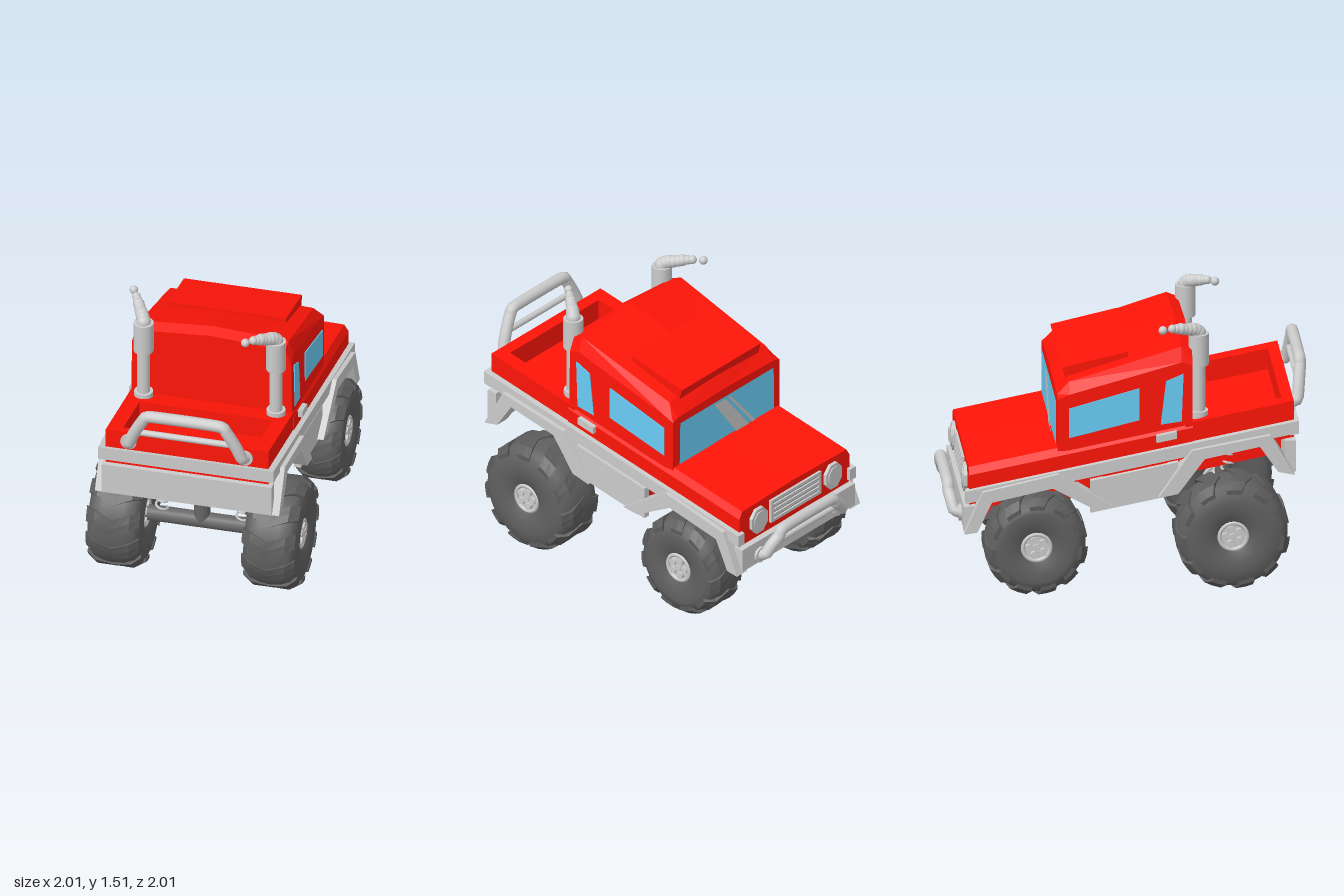
import * as THREE from 'three';

const mat = (color, flat = false) =>
  new THREE.MeshStandardMaterial({ color, flatShading: flat, side: THREE.DoubleSide });
const RED = mat(0xff1508, true), TRIM = mat(0xcccccc, true), METAL = mat(0xcccccc);
const RUBBER = mat(0x606060), LUG = mat(0x5c5c5c, true), GLASS = mat(0x6accf5, true), DARK = mat(0x666666);

// Belt line of the raked body
const belt = (x) => 0.88 - 0.19 * x;

export function createModel() {
  const root = new THREE.Group();
  root.name = 'truck';
  const truck = new THREE.Group(); // built with the nose along +x
  truck.name = 'truckBody';
  truck.rotation.y = Math.PI / 4;
  root.add(truck);

  const add = (name, geo, material, parent = truck) => {
    const m = new THREE.Mesh(geo, material);
    m.name = name;
    parent.add(m);
    return m;
  };
  const box = (name, x0, x1, y0, y1, z0, z1, material) => {
    const m = add(name, new THREE.BoxGeometry(x1 - x0, y1 - y0, z1 - z0), material);
    m.position.set((x0 + x1) / 2, (y0 + y1) / 2, (z0 + z1) / 2);
    return m;
  };
  // Box that follows the belt line; top and bottom are offsets from it
  const slab = (name, x0, x1, top, bottom, z0, z1, material) => {
    const g = new THREE.BoxGeometry(x1 - x0, top - bottom, z1 - z0);
    g.translate((x0 + x1) / 2, (top + bottom) / 2, (z0 + z1) / 2);
    const p = g.attributes.position;
    for (let i = 0; i < p.count; i++) p.setY(i, p.getY(i) + belt(p.getX(i)));
    g.computeVertexNormals();
    return add(name, g, material);
  };
  // Skin over mirrored half sections [x, [[z, y], ...]] from sill to centre
  const loft = (name, sections, material) => {
    const pos = [], idx = [];
    const n = sections[0][1].length * 2 - 1;
    for (const [x, half] of sections) {
      const full = [...half, ...half.slice(0, -1).reverse().map(([z, y]) => [-z, y])];
      for (const [z, y] of full) pos.push(x, y, z);
    }
    const last = (sections.length - 1) * n;
    for (let i = 0; i < last; i += n)
      for (let j = 0; j < n - 1; j++) {
        const a = i + j, b = a + n;
        idx.push(a, b, a + 1, b, b + 1, a + 1);
      }
    for (let j = 1; j < n - 1; j++) idx.push(0, j, j + 1, last, last + j + 1, last + j);
    const g = new THREE.BufferGeometry();
    g.setAttribute('position', new THREE.Float32BufferAttribute(pos, 3));
    g.setIndex(idx);
    g.computeVertexNormals();
    return add(name, g, material);
  };
  const plate = (name, pts, z0, z1, material) => {
    const shape = new THREE.Shape(pts.map(([x, y]) => new THREE.Vector2(x, y)));
    const g = new THREE.ExtrudeGeometry(shape, { depth: z1 - z0, bevelEnabled: false });
    return add(name, g.translate(0, 0, z0), material);
  };
  // Flat panel facing +x, drawn by [z, y] corners
  const frontPane = (name, x, pts, material) => {
    const g = new THREE.ShapeGeometry(new THREE.Shape(pts.map(([z, y]) => new THREE.Vector2(-z, y))));
    return add(name, g.rotateY(Math.PI / 2).translate(x, 0, 0), material);
  };
  const rod = (name, a, b, r, material, seg = 16) => {
    const A = new THREE.Vector3(...a), B = new THREE.Vector3(...b), d = B.clone().sub(A);
    const m = add(name, new THREE.CylinderGeometry(r, r, d.length(), seg), material);
    m.position.copy(A).add(B).multiplyScalar(0.5);
    m.quaternion.setFromUnitVectors(new THREE.Vector3(0, 1, 0), d.normalize());
    return m;
  };

  // Lower body and hood
  const hoodSection = (x) => [x, [[0.46, belt(x) - 0.2], [0.46, belt(x) - 0.03], [0.435, belt(x) + 0.01], [0, belt(x) + 0.02]]];
  loft('hood', [hoodSection(-0.34), hoodSection(0.4), hoodSection(0.88)], RED);
  slab('belly', -0.86, 0.85, -0.2, -0.37, -0.25, 0.25, RED);
  slab('cabinFloor', -0.2, 0.15, -0.19, -0.38, -0.455, 0.455, RED);

  // Cargo bed
  slab('bedFloor', -0.89, -0.3, -0.12, -0.21, -0.455, 0.455, RED);
  slab('tailgate', -0.89, -0.83, 0, -0.21, -0.455, 0.455, RED);
  slab('bedFront', -0.47, -0.3, 0, -0.21, -0.455, 0.455, RED);

  // Cab
  loft('cab', [
    [-0.34, [[0.45, 0.85], [0.445, 1.27], [0.41, 1.345], [0, 1.375]]],
    [-0.28, [[0.45, 0.84], [0.445, 1.29], [0.415, 1.37], [0, 1.4]]],
    [0.33, [[0.45, 0.75], [0.445, 1.125], [0.4, 1.185], [0, 1.212]]],
    [0.395, [[0.445, 0.74], [0.445, 1.1], [0.405, 1.115], [0, 1.125]]],
  ], RED);
  plate('roofScoop', [[0, 1.25], [0.34, 1.17], [0.36, 1.24], [0, 1.32]], -0.33, 0.33, RED);

  // Windshield with two slanted stripes
  frontPane('windshield', 0.4, [[0.395, 0.82], [-0.395, 0.82], [-0.39, 1.075], [0.39, 1.075]], GLASS);
  for (const [t0, t1, b0, b1] of [[0.115, 0.024, -0.066, -0.172], [0, -0.02, -0.2, -0.225]])
    frontPane('windshieldStripe', 0.41, [[b0, 0.825], [b1, 0.825], [t1, 1.07], [t0, 1.07]], TRIM);

  // Bed sides, side trim, wheel arches, windows and handles
  const panes = [
    [[-0.05, 0.965], [0.335, 0.875], [0.335, 1.045], [-0.05, 1.15]],
    [[-0.28, 0.95], [-0.165, 0.935], [-0.195, 1.185], [-0.29, 1.225]],
  ];
  const arches = [
    [[-0.89, 0.64], [-0.76, 0.875], [-0.33, 0.8], [-0.15, 0.535], [-0.26, 0.56], [-0.4, 0.75], [-0.7, 0.81], [-0.8, 0.66]],
    [[0.1, 0.49], [0.4, 0.69], [0.81, 0.6], [0.91, 0.36], [0.84, 0.37], [0.76, 0.54], [0.43, 0.61], [0.2, 0.48]],
  ];
  for (const s of [-1, 1]) {
    const span = (a, b) => (s > 0 ? [a, b] : [-b, -a]);
    slab('bedSide', -0.86, -0.3, 0, -0.21, ...span(0.37, 0.455), RED);
    for (const p of panes) plate('sideWindow', p, ...span(0.44, 0.452), GLASS);
    slab('sideStrip', -0.915, 0.9, -0.11, -0.18, ...span(0.44, 0.49), TRIM);
    slab('sidePanel', -0.26, 0.22, -0.205, -0.39, ...span(0.44, 0.48), TRIM);
    for (const a of arches) plate('wheelArch', a, ...span(0.43, 0.515), TRIM);
    slab('doorHandle', -0.25, -0.14, -0.025, -0.065, ...span(0.45, 0.485), TRIM);
  }
  slab('rearStrip', -0.915, -0.87, -0.11, -0.185, -0.49, 0.49, TRIM);
  box('rearPanel', -0.9, -0.84, 0.645, 0.825, -0.475, 0.475, TRIM);
  box('frontBumper', 0.84, 0.91, 0.37, 0.505, -0.47, 0.47, TRIM);

  // Headlights and grille
  for (const s of [-1, 1])
    for (const [r, x, m] of [[0.075, 0.875, TRIM], [0.055, 0.881, METAL]]) {
      const g = new THREE.CylinderGeometry(r, r, 0.05, 8).rotateY(Math.PI / 8).rotateZ(Math.PI / 2).scale(1, 1.08, 0.95);
      add('headlight', g, m).position.set(x, 0.62, s * 0.31);
    }
  box('grillePanel', 0.86, 0.885, 0.56, 0.69, -0.2, 0.2, DARK);
  for (let i = 0; i < 5; i++) box('grilleBar', 0.86, 0.895, 0.556 + i * 0.03, 0.574 + i * 0.03, -0.205, 0.205, TRIM);
  for (const s of [-1, 1]) box('grilleEnd', 0.86, 0.895, 0.556, 0.694, s * 0.2 - 0.01, s * 0.2 + 0.01, TRIM);

  // Tubular guard bars, front and rear
  const guard = (name, x, out, y0, y1) => {
    const half = [[x, y0, 0.325], [x + out * 0.6, y0 + 0.01, 0.315], [x + out * 0.8, y0 + (y1 - y0) * 0.4, 0.285], [x + out, y1 - 0.035, 0.235], [x + out, y1, 0.19]];
    const pts = [...half, ...half.map(([a, b, c]) => [a, b, -c]).reverse()].map((p) => new THREE.Vector3(...p));
    add(name, new THREE.TubeGeometry(new THREE.CatmullRomCurve3(pts, false, 'catmullrom', 0.3), 60, 0.033, 12), METAL);
    const ym = y0 + (y1 - y0) * 0.45;
    rod(name + 'CrossBar', [x + out * 0.8, ym, -0.28], [x + out * 0.8, ym, 0.28], 0.018, METAL, 12);
    for (const s of [-1, 1]) rod(name + 'Foot', [x - out * 0.3, y0, s * 0.325], [x + out * 0.25, y0, s * 0.325], 0.045, METAL);
  };
  guard('frontGuard', 0.91, 0.06, 0.42, 0.55);
  guard('rearGuard', -0.89, -0.055, 0.995, 1.21);

  // Exhaust stacks with puffs drifting from the tops
  for (const [s, dx, dz] of [[1, -0.2, 0.01], [-1, 0.07, -0.22]]) {
    const X = -0.38, Z = s * 0.37;
    rod('stackBase', [X, 0.93, Z], [X, 0.985, Z], 0.052, METAL);
    rod('stackPipe', [X, 0.93, Z], [X, 1.26, Z], 0.036, METAL);
    rod('stackMuffler', [X, 1.25, Z], [X, 1.43, Z], 0.055, METAL, 20);
    const ox = (dx - dz) * Math.SQRT1_2, oz = (dx + dz) * Math.SQRT1_2;
    [[0, 1.435, 0.04], [0.08, 1.45, 0.038], [0.17, 1.458, 0.037], [0.28, 1.463, 0.034], [0.4, 1.47, 0.032], [0.5, 1.477, 0.032], [0.62, 1.482, 0.026], [0.74, 1.488, 0.024], [1, 1.492, 0.024]]
      .forEach(([t, y, r]) => add('smokePuff', new THREE.SphereGeometry(r, 14, 10), METAL).position.set(X + ox * t, y, Z + oz * t));
  }

  // Wheel with its axle along z: tyre, chevron lugs, hub and bolts
  const wheel = (R, wide) => {
    const g = new THREE.Group();
    g.name = 'wheel';
    const half = [[0.07, 0.095], [0.09, 0.115], [0.15, 0.13], [0.2, 0.132], [R - 0.055, 0.125], [R - 0.025, 0.1], [R - 0.01, 0.05]];
    const pts = [...half.map(([r, z]) => [r, -z * wide]), ...half.reverse().map(([r, z]) => [r, z * wide])].map((p) => new THREE.Vector2(...p));
    add('tyre', new THREE.LatheGeometry(pts, 48).rotateX(Math.PI / 2), RUBBER, g);
    const count = 11;
    for (let i = 0; i < count; i++)
      for (const s of [-1, 1]) {
        // Each half lug sweeps back and wraps over the shoulder
        const lug = new THREE.BoxGeometry(0.024, 0.095, 0.132, 1, 2, 3).translate(R - 0.013, 0, s * 0.066);
        const p = lug.attributes.position;
        for (let k = 0; k < p.count; k++) {
          const d = Math.abs(p.getZ(k)), a = (p.getY(k) + 0.025 - d * 0.5) / R;
          const r = p.getX(k) - (d > 0.1 ? 0.035 : 0);
          p.setXYZ(k, r * Math.cos(a), r * Math.sin(a), p.getZ(k) * wide);
        }
        lug.computeVertexNormals();
        add('treadLug', lug, LUG, g).rotation.z = (i / count) * Math.PI * 2;
      }
    add('hub', new THREE.CylinderGeometry(0.085, 0.085, 0.2 * wide, 24).rotateX(Math.PI / 2), METAL, g);
    for (const s of [-1, 1]) {
      const z = s * 0.108 * wide;
      add('hubRim', new THREE.TorusGeometry(0.076, 0.012, 8, 24), METAL, g).position.z = z;
      for (let i = 0; i < 6; i++) {
        const a = (i / 5) * Math.PI * 2, r = i < 5 ? 0.044 : 0;
        const bolt = add('hubBolt', new THREE.CylinderGeometry(0.021, 0.021, 0.03, 12).rotateX(Math.PI / 2), METAL, g);
        bolt.position.set(Math.cos(a) * r, Math.sin(a) * r, z);
      }
    }
    return g;
  };

  // Axles, posts, springs and wheels
  for (const [x, R, wide] of [[-0.55, 0.313, 1.13], [0.52, 0.283, 1]]) {
    const top = belt(x) - 0.2;
    rod('axle', [x, R, -0.42], [x, R, 0.42], 0.045, DARK);
    rod('axlePost', [x, R, 0], [x, top, 0], 0.045, DARK);
    for (const s of [-1, 1]) {
      const pts = [];
      for (let i = 0; i <= 108; i++) {
        const t = i / 108, a = t * Math.PI * 18;
        pts.push(new THREE.Vector3(x + Math.cos(a) * 0.032, R + 0.03 + t * (top - R - 0.03), s * 0.225 + Math.sin(a) * 0.032));
      }
      add('spring', new THREE.TubeGeometry(new THREE.CatmullRomCurve3(pts), 216, 0.007, 6), METAL);
      const wh = wheel(R, wide);
      wh.position.set(x, R, s * 0.435);
      truck.add(wh);
    }
  }
  return root;
}
